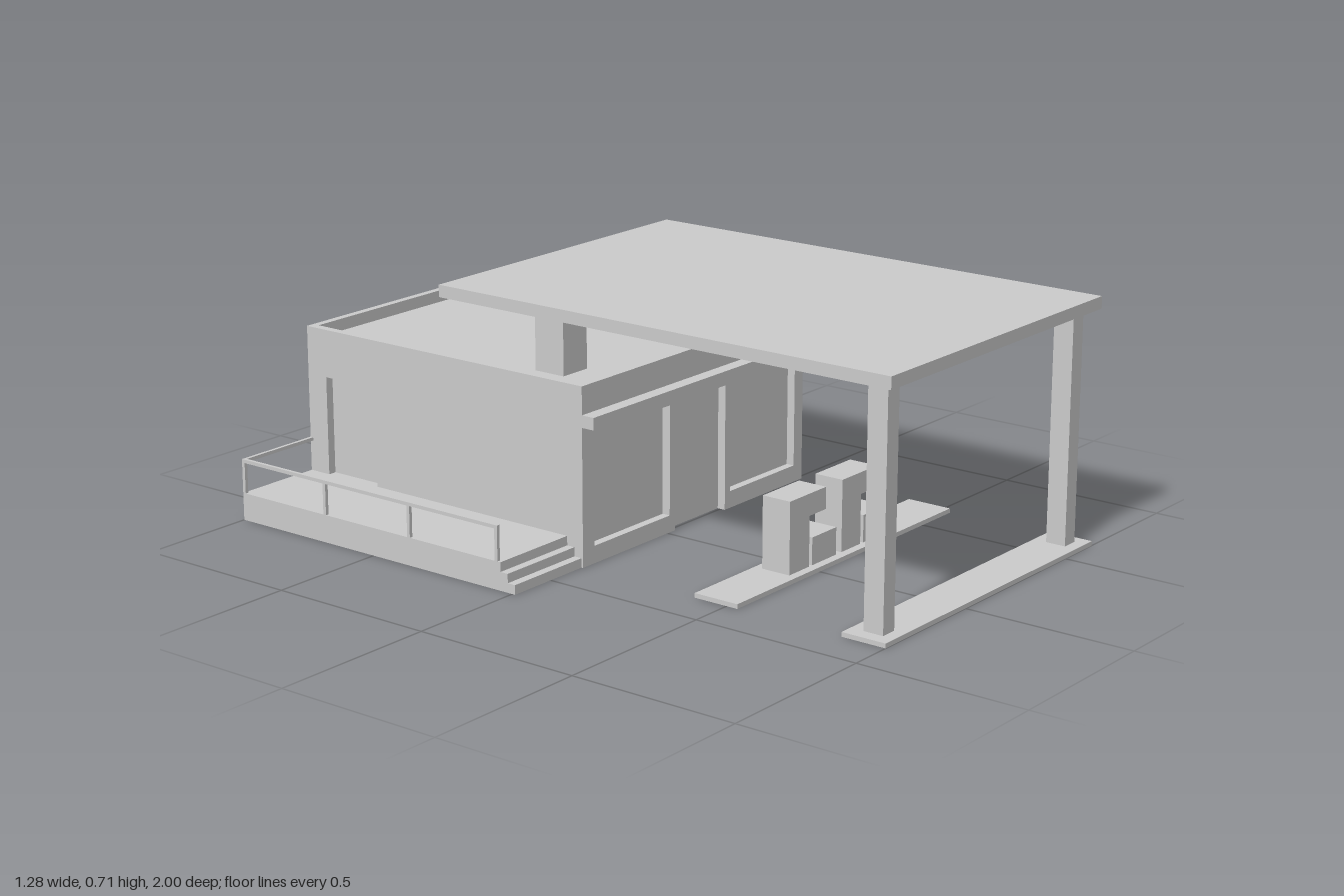
import * as THREE from 'three';

const material = new THREE.MeshStandardMaterial({ color: 0xcccccc, flatShading: true });

// Box given by its extents on each axis
function box(parent, name, [x0, x1], [y0, y1], [z0, z1]) {
  const mesh = new THREE.Mesh(new THREE.BoxGeometry(x1 - x0, y1 - y0, z1 - z0), material);
  mesh.position.set((x0 + x1) / 2, (y0 + y1) / 2, (z0 + z1) / 2);
  mesh.name = name;
  parent.add(mesh);
  return mesh;
}

const points = (list) => list.map(([x, y]) => new THREE.Vector2(x, y));
const rect = (x0, x1, y0, y1) => points([[x0, y0], [x1, y0], [x1, y1], [x0, y1]]);

// Flat panel with openings, extruded along its local z
function panel(parent, name, outline, openings, depth) {
  const shape = new THREE.Shape(outline);
  openings.forEach((o) => shape.holes.push(new THREE.Path(o)));
  const geometry = new THREE.ExtrudeGeometry(shape, { depth, bevelEnabled: false });
  const mesh = new THREE.Mesh(geometry, material);
  mesh.name = name;
  parent.add(mesh);
  return mesh;
}

function createBuilding() {
  const group = new THREE.Group();
  group.name = 'building';
  const recess = 0.025;
  box(group, 'buildingCore', [-0.37 + recess, 0.64], [0, 0.475], [-1, 0.015 - recess]);

  // Front wall: doorway notch in the middle, a window on each side
  const frontOutline = points([
    [-0.37, 0], [0.035, 0], [0.035, 0.37], [0.265, 0.37], [0.265, 0],
    [0.64, 0], [0.64, 0.475], [-0.37, 0.475],
  ]);
  const windows = [rect(-0.32, 0.01, 0.05, 0.37), rect(0.29, 0.6, 0.05, 0.37)];
  panel(group, 'frontWall', frontOutline, windows, recess).position.z = 0.015 - recess;

  // Side wall with a recessed door onto the porch (local x runs along z)
  const sideWall = panel(group, 'porchWall', rect(-1, 0.015 - recess, 0, 0.475),
    [rect(-0.93, -0.74, 0.08, 0.37)], recess);
  sideWall.rotation.y = -Math.PI / 2;
  sideWall.position.x = -0.37 + recess;

  // Parapet ring around the sunken roof (local y runs along -z)
  const parapet = panel(group, 'parapet', rect(-0.37, 0.64, -0.015, 1),
    [rect(-0.345, 0.618, 0.01, 0.978)], 0.035);
  parapet.rotation.x = -Math.PI / 2;
  parapet.position.y = 0.475;

  box(group, 'frontLedge', [-0.37, 0.64], [0.395, 0.43], [0.01, 0.055]);
  return group;
}

function createPorch() {
  const group = new THREE.Group();
  group.name = 'porch';
  const x = [-0.645, -0.37];
  box(group, 'deck', x, [0, 0.08], [-1, -0.04]);
  box(group, 'upperStep', x, [0, 0.053], [-0.04, -0.015]);
  box(group, 'lowerStep', x, [0, 0.027], [-0.015, 0.01]);

  // Railing along the outer side and the back
  box(group, 'sideRail', [-0.645, -0.635], [0.17, 0.18], [-1, -0.05]);
  box(group, 'backRail', [-0.635, -0.37], [0.17, 0.18], [-1, -0.99]);
  for (let i = 0; i < 4; i++) {
    const z = -1 + i * 0.3133;
    box(group, 'railPost', [-0.645, -0.635], [0.08, 0.17], [z, z + 0.01]);
  }
  return group;
}

function createCanopy() {
  const group = new THREE.Group();
  group.name = 'canopy';
  box(group, 'canopyRoof', [-0.37, 0.64], [0.675, 0.71], [-0.49, 1]);
  box(group, 'columnBase', [-0.37, 0.64], [0, 0.013], [0.865, 1]);
  for (const x of [-0.33, 0.555]) box(group, 'frontColumn', [x, x + 0.05], [0.013, 0.675], [0.905, 0.965]);
  for (const x of [-0.23, 0.39]) box(group, 'roofPier', [x, x + 0.1], [0.475, 0.675], [-0.265, -0.165]);
  return group;
}

function createPumpIsland() {
  const group = new THREE.Group();
  group.name = 'pumpIsland';
  box(group, 'islandBase', [-0.37, 0.64], [0, 0.013], [0.395, 0.535]);

  // Two hooked pumps, each with a low block under the overhang
  for (const x of [-0.105, 0.137]) {
    const outline = points([
      [0, 0.013], [0.09, 0.013], [0.09, 0.157], [0.165, 0.157], [0.165, 0.22], [0, 0.22],
    ]);
    panel(group, 'pump', outline, [], 0.09).position.set(x, 0, 0.42);
    box(group, 'pumpBlock', [x + 0.104, x + 0.216], [0.013, 0.092], [0.42, 0.51]);
  }
  return group;
}

export function createModel() {
  const model = new THREE.Group();
  model.name = 'fillingStation';
  model.add(createBuilding(), createPorch(), createCanopy(), createPumpIsland());
  return model;
}
